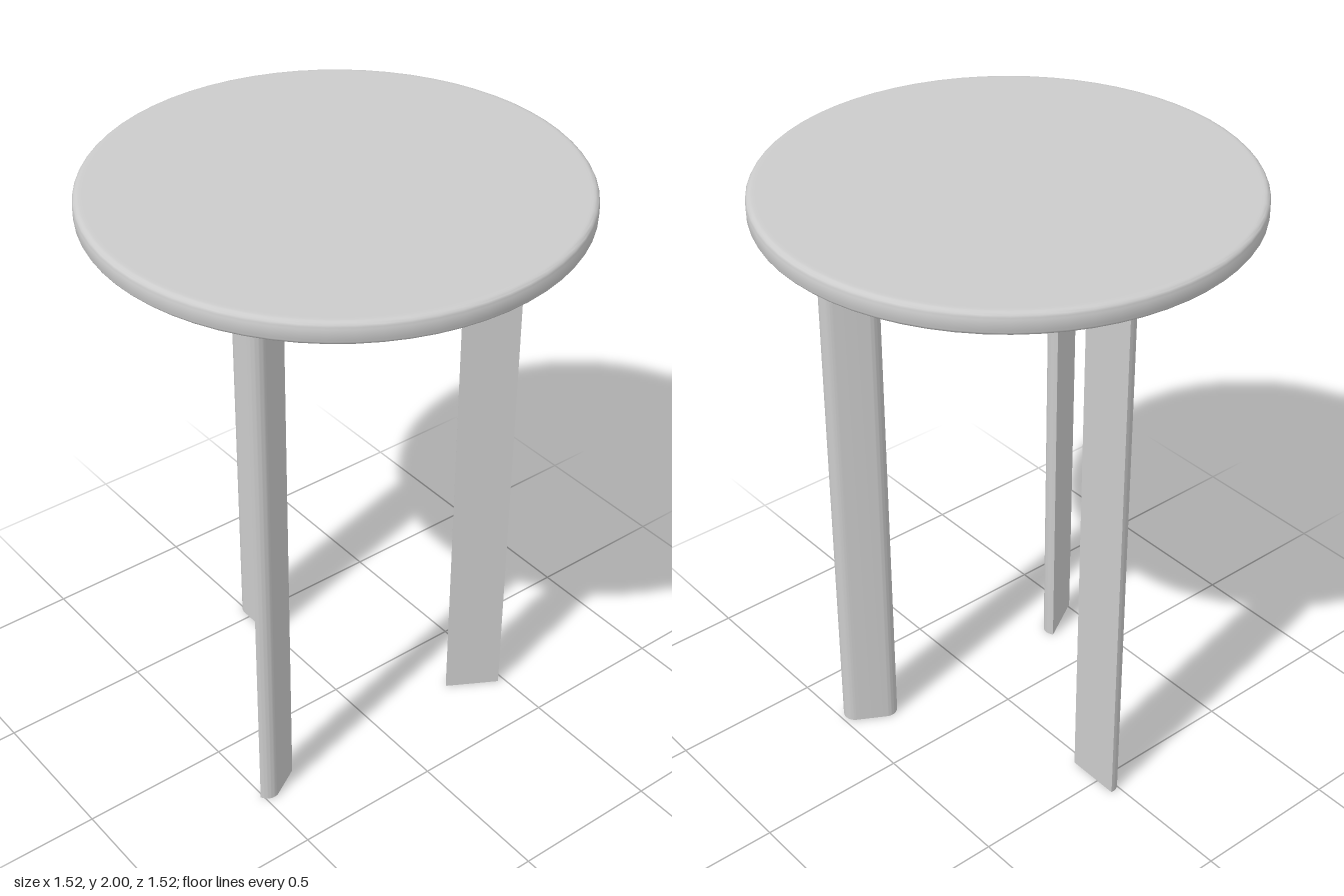
import * as THREE from 'three';
import { toCreasedNormals } from 'three/addons/utils/BufferGeometryUtils.js';

const TOP = 2, UNDER = 1.928, RADIUS = 0.762, EDGE = 0.02;

// Round top: flat faces joined by a softly rounded rim
function tabletopGeometry() {
  const pts = [new THREE.Vector2(0, UNDER), new THREE.Vector2(RADIUS - EDGE - 0.01, UNDER)];
  const arc = (cy, from) => {
    for (let i = 0; i <= 5; i++) {
      const a = from + (i / 5) * Math.PI / 2;
      pts.push(new THREE.Vector2(RADIUS - EDGE + EDGE * Math.cos(a), cy + EDGE * Math.sin(a)));
    }
  };
  arc(UNDER + EDGE, -Math.PI / 2);
  arc(TOP - EDGE, 0);
  pts.push(new THREE.Vector2(RADIUS - EDGE - 0.01, TOP), new THREE.Vector2(0, TOP));
  return toCreasedNormals(new THREE.LatheGeometry(pts, 64), 0.6);
}

// Upright plank set radially, with both corners of one broad face rounded
function legGeometry() {
  const inner = 0.386, outer = 0.57, back = -0.033, face = 0.014, r = 0.04;
  const s = new THREE.Shape();
  s.moveTo(inner, back);
  s.lineTo(outer, back);
  s.lineTo(outer, face - r);
  s.absarc(outer - r, face - r, r, 0, Math.PI / 2, false);
  s.lineTo(inner + r, face);
  s.absarc(inner + r, face - r, r, Math.PI / 2, Math.PI, false);
  s.closePath();
  const g = new THREE.ExtrudeGeometry(s, { depth: UNDER, bevelEnabled: false, curveSegments: 8 });
  g.rotateX(-Math.PI / 2);
  return toCreasedNormals(g, 0.6);
}

export function createModel() {
  const model = new THREE.Group();
  model.name = 'sideTable';
  const material = new THREE.MeshStandardMaterial({ color: 0xcccccc });

  const top = new THREE.Mesh(tabletopGeometry(), material);
  top.name = 'tabletop';
  model.add(top);

  // Three legs, evenly turned about the centre
  const leg = legGeometry();
  ['rightLeg', 'frontLeftLeg', 'backLeftLeg'].forEach((name, i) => {
    const mesh = new THREE.Mesh(leg, material);
    mesh.name = name;
    mesh.rotation.y = Math.PI + i * Math.PI * 2 / 3;
    model.add(mesh);
  });
  return model;
}
